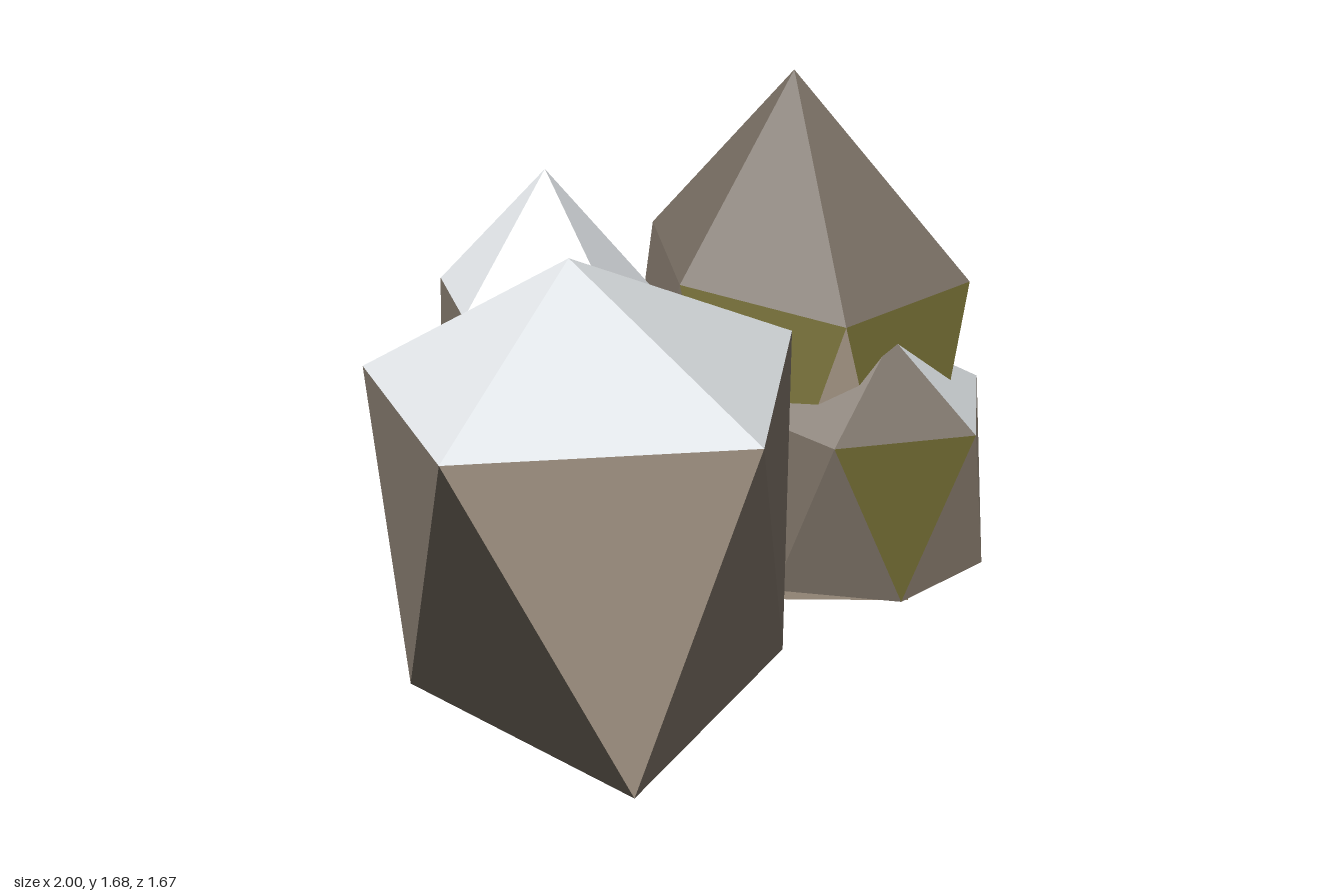
import * as THREE from 'three';

const COLORS = {
  b: ['brownStone', 0x766c61], t: ['tanStone', 0x9d8f7f], d: ['darkStone', 0x413c35],
  g: ['paleGreyStone', 0xdde1e4], o: ['oliveMoss', 0x706a32], r: ['rustOrange', 0x8f4d20],
};
const KEYS = Object.keys(COLORS);

// A faceted crystal: an apex, an upper ring, a twisted lower ring and a base point.
// Rings run left, front, right, back. Strings give one colour letter per face.
function crystal(name, materials, { apex, top, low, base, caps, upper, lower }) {
  const n = top.length;
  const faces = Object.fromEntries(KEYS.map((key) => [key, []]));
  const tri = (key, a, b, c) => faces[key].push(...a, ...b, ...c);
  for (let i = 0; i < n; i++) {
    const j = (i + 1) % n;
    tri(caps[i], apex, top[i], top[j]);
    tri(upper[i], top[i], low[i], top[j]);
    tri(lower[i], low[i], low[j], top[j]);
    tri('d', low[j], low[i], base);
  }
  const geometry = new THREE.BufferGeometry();
  const positions = [];
  KEYS.forEach((key, k) => {
    if (faces[key].length) geometry.addGroup(positions.length / 3, faces[key].length / 3, k);
    positions.push(...faces[key]);
  });
  geometry.setAttribute('position', new THREE.Float32BufferAttribute(positions, 3));
  geometry.computeVertexNormals();
  const mesh = new THREE.Mesh(geometry, materials);
  mesh.name = name;
  return mesh;
}

export function createModel() {
  const materials = KEYS.map((key) => {
    const material = new THREE.MeshStandardMaterial({ color: COLORS[key][1] });
    material.name = COLORS[key][0];
    return material;
  });
  const group = new THREE.Group();
  group.name = 'rockCluster';

  // Broad boulder
  group.add(crystal('broadBoulder', materials, {
    apex: [-0.43, 1.38, 0.12],
    top: [[-0.98, 1.04, 0.47], [-0.18, 1.04, 0.8], [0.27, 1.02, 0.21], [-0.3, 1.03, -0.36], [-0.95, 0.99, -0.25]],
    low: [[-0.6, 0.01, 0.83], [0.08, 0.08, 0.52], [0, 0.02, -0.3], [-0.65, 0.04, -0.46], [-1, 0.05, 0.09]],
    base: [-0.4, 0, 0.12],
    caps: 'ggggg', upper: 'tbbbb', lower: 'bdbbd',
  }));

  // Rear rock
  group.add(crystal('rearRock', materials, {
    apex: [-0.2, 1.37, -0.56],
    top: [[-0.56, 0.98, -0.42], [-0.15, 0.98, -0.13], [0.1, 0.94, -0.33], [-0.07, 0.96, -0.84], [-0.48, 0.93, -0.84]],
    low: [[-0.5, 0.05, -0.33], [0, 0.04, -0.2], [-0.02, 0.05, -0.52], [-0.34, 0.05, -0.74], [-0.65, 0.05, -0.56]],
    base: [-0.28, 0.01, -0.5],
    caps: 'ggttg', upper: 'bbbbb', lower: 'bbddb',
  }));

  // Tall pointed rock
  group.add(crystal('tallRock', materials, {
    apex: [0.53, 1.68, -0.24],
    top: [[0.12, 1.02, -0.24], [0.45, 1, 0.24], [0.91, 1.06, 0.25], [0.69, 1, -0.46], [0.28, 1.02, -0.74]],
    low: [[0.15, 0.03, 0.18], [0.61, 0.04, 0.45], [0.55, 0.05, -0.18], [0.36, 0.03, -0.6], [0, 0.04, -0.51]],
    base: [0.35, 0, -0.15],
    caps: 'bbbob', upper: 'oobbb', lower: 'tdddb',
  }));

  // Small front rock
  group.add(crystal('smallFrontRock', materials, {
    apex: [0.62, 0.93, 0.25],
    top: [[0.34, 0.66, 0.37], [0.78, 0.66, 0.51], [1, 0.68, 0.22], [0.92, 0.68, 0.07], [0.55, 0.68, -0.1], [0.2, 0.67, 0.05]],
    low: [[0.56, 0.07, 0.48], [0.95, 0.05, 0.4], [0.9, 0.03, -0.04], [0.72, 0.03, -0.1], [0.35, 0.03, -0.1], [0.21, 0.09, 0.25]],
    base: [0.6, 0.01, 0.2],
    caps: 'bgbbbb', upper: 'otbbbb', lower: 'trbbbb',
  }));

  // Little side rock
  group.add(crystal('littleSideRock', materials, {
    apex: [0.76, 0.8, -0.1],
    top: [[0.6, 0.7, 0.1], [0.87, 0.72, 0.08], [0.9, 0.73, -0.1], [0.55, 0.64, -0.315], [0.5, 0.65, -0.05]],
    low: [[0.72, 0.3, 0.1], [0.9, 0.3, 0.06], [0.79, 0.08, -0.26], [0.42, 0.3, -0.35], [0.5, 0.3, -0.05]],
    base: [0.74, 0.03, -0.07],
    caps: 'bgbbb', upper: 'bbbbb', lower: 'bbrbb',
  }));

  return group;
}
